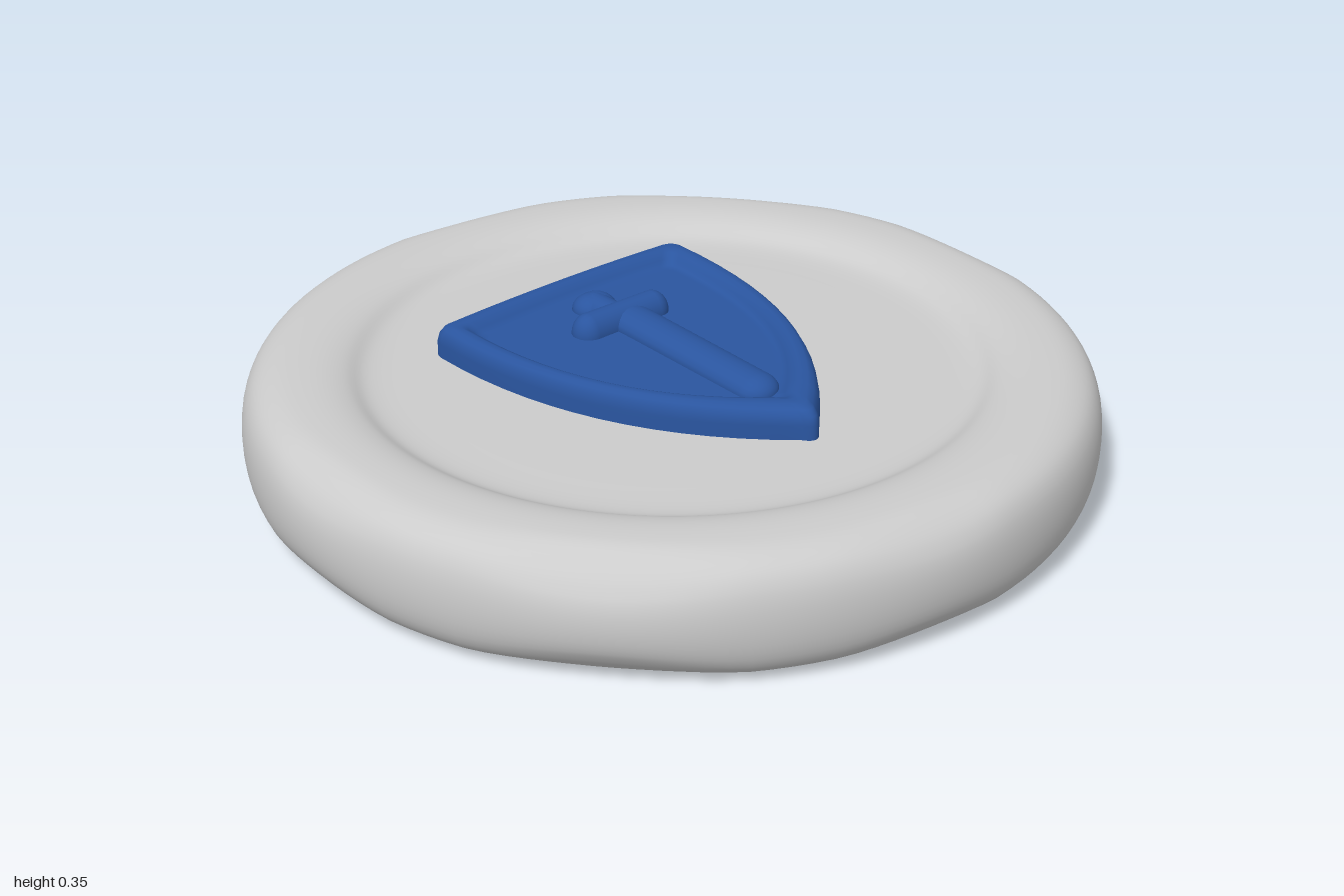
import * as THREE from 'three';
import { mergeVertices } from 'three/addons/utils/BufferGeometryUtils.js';

const stone = new THREE.MeshStandardMaterial({ color: 0xcccccc });
const blue = new THREE.MeshStandardMaterial({ color: 0x2a559f });

// Shield outline in (x, z), inset by d; every call returns matching points
function shieldOutline(d) {
  const L = -0.387 + d, R = 0.37 - d, zl = -0.415 + d, zr = -0.43 + d, tip = 0.49 - 1.75 * d;
  const r = 0.04 * (1 - 4 * d);
  const s = new THREE.Shape();
  s.moveTo(L + r, zl);
  s.quadraticCurveTo(0, -0.445 + d, R - r, zr);
  s.quadraticCurveTo(R, zr, R, zr + r);
  s.quadraticCurveTo(R + 0.005, 0.15 - d * 0.4, 0.03, tip - 0.025);
  s.quadraticCurveTo(0.004, tip + 0.015, -0.022, tip - 0.025);
  s.quadraticCurveTo(L - 0.005, 0.15 - d * 0.4, L, zl + r);
  s.quadraticCurveTo(L, zl, L + r, zl);
  const pts = s.getPoints(14);
  pts.pop();
  return pts;
}

// Skin of stacked shield outlines, closed by a slightly domed field
function shieldGeometry() {
  // [inset, height]
  const rings = [[0, 0.23], [0, 0.295], [0.004, 0.315], [0.012, 0.328], [0.024, 0.335],
    [0.042, 0.335], [0.054, 0.33], [0.064, 0.318], [0.075, 0.307], [0.088, 0.303]];
  const pos = [], idx = [];
  for (const [d, y] of rings) for (const p of shieldOutline(d)) pos.push(p.x, y, p.y);
  const n = pos.length / 3 / rings.length;
  for (let k = 0; k < rings.length; k++) {
    for (let i = 0; i < n; i++) {
      const j = (i + 1) % n, a = k * n, b = a + n;
      if (k < rings.length - 1) idx.push(a + i, b + i, b + j, a + i, b + j, a + j);
      else idx.push(rings.length * n, a + j, a + i);
    }
  }
  pos.push(0, 0.308, -0.1);
  const g = new THREE.BufferGeometry();
  g.setAttribute('position', new THREE.Float32BufferAttribute(pos, 3));
  g.setIndex(idx);
  g.computeVertexNormals();
  return g;
}

// Round disc with soft shoulders and a shallow dish on both faces
function discGeometry() {
  const half = [[0, 0.05], [0.3, 0.05], [0.55, 0.05], [0.67, 0.05], [0.715, 0.042], [0.755, 0.02],
    [0.8, 0.008], [0.86, 0.005], [0.92, 0.012], [0.965, 0.037], [0.99, 0.08]];
  const top = half.slice().reverse().map(([r, y]) => [r, 0.31 - y]);
  const curve = new THREE.CatmullRomCurve3(
    [...half, [1, 0.155], ...top].map(([r, y]) => new THREE.Vector3(r, y, 0)));
  const profile = curve.getPoints(88).map(p => new THREE.Vector2(Math.max(p.x, 0), p.y));
  let g = new THREE.LatheGeometry(profile, 128);
  g.deleteAttribute('uv');
  g.deleteAttribute('normal');
  g = mergeVertices(g, 1e-4);
  // gently worn shoulders
  const p = g.attributes.position;
  for (let i = 0; i < p.count; i++) {
    const x = p.getX(i), y = p.getY(i), z = p.getZ(i), r = Math.hypot(x, z);
    const a = Math.atan2(z, x);
    const w = THREE.MathUtils.smoothstep(r, 0.88, 0.98);
    const wear = Math.max(0, Math.sin(3 * a + 0.6) * Math.sin(5 * a + 2)) * 0.022 * w;
    p.setY(i, y + (y < 0.155 ? wear : -wear) * Math.min(1, Math.abs(y - 0.155) * 10));
  }
  g.computeVertexNormals();
  return g;
}

// Flattened rounded bar lying on the shield
function bar(name, radius, length, height, alongX, x, y, z) {
  const g = new THREE.CapsuleGeometry(radius, length, 8, 20);
  if (alongX) g.rotateZ(Math.PI / 2);
  else g.rotateX(Math.PI / 2);
  g.scale(1, height / radius, 1);
  const m = new THREE.Mesh(g, blue);
  m.name = name;
  m.position.set(x, y, z);
  return m;
}

export function createModel() {
  const model = new THREE.Group();
  model.name = 'shieldToken';

  const disc = new THREE.Mesh(discGeometry(), stone);
  disc.name = 'disc';
  model.add(disc);

  const shield = new THREE.Mesh(shieldGeometry(), blue);
  shield.name = 'shield';
  model.add(shield);

  // Sword relief
  const sword = new THREE.Group();
  sword.name = 'sword';
  const blade = bar('blade', 0.055, 0.43, 0.038, false, 0.012, 0.306, 0.06);
  blade.rotation.x = 0.02;
  sword.add(
    blade,
    bar('crossGuard', 0.042, 0.19, 0.05, true, -0.002, 0.306, -0.185),
    bar('grip', 0.04, 0.09, 0.04, false, 0, 0.303, -0.24),
    bar('pommel', 0.05, 0.01, 0.038, true, 0, 0.304, -0.285));
  model.add(sword);

  return model;
}
